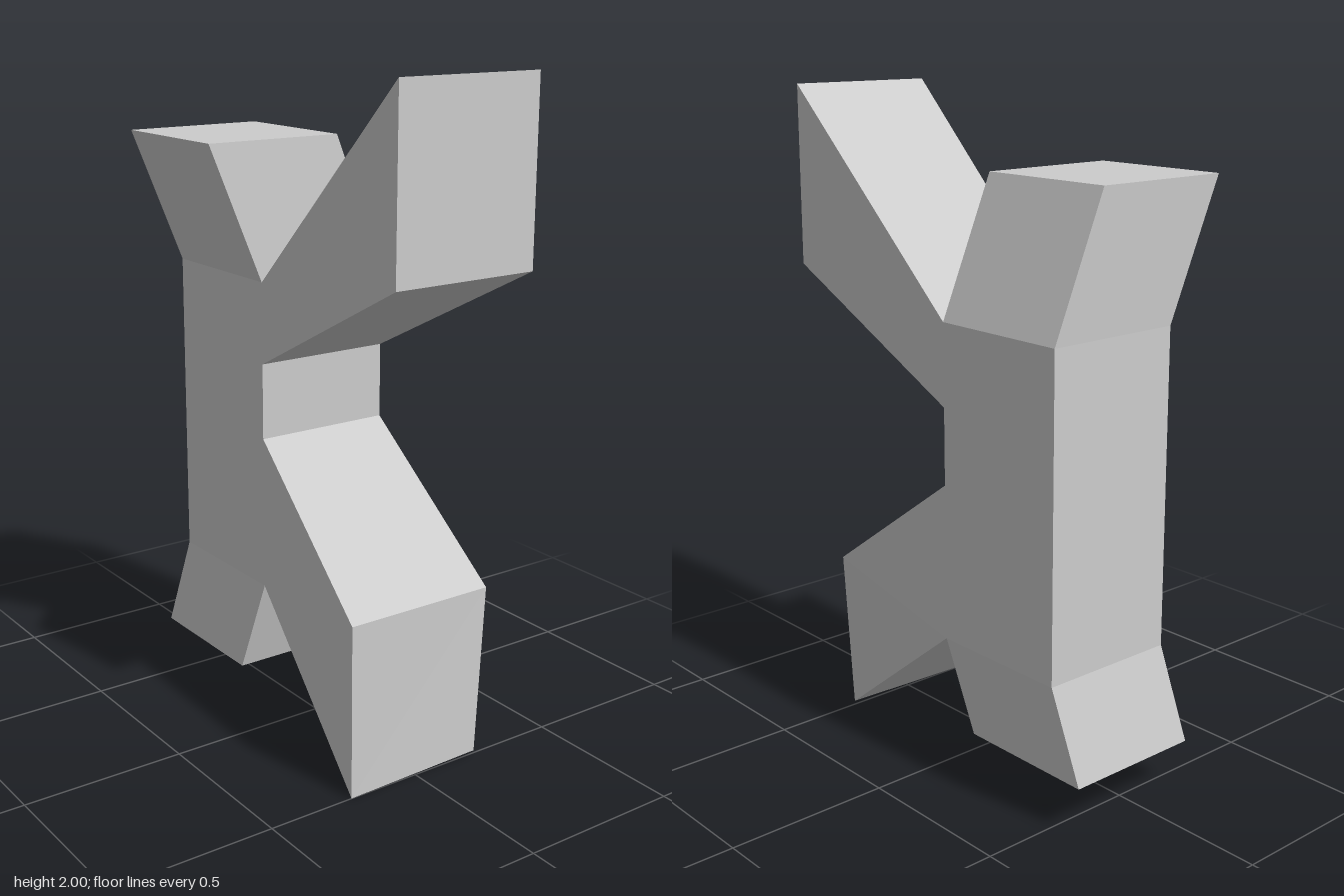
import * as THREE from 'three';

// Joins four-cornered cross-sections; each ring runs anticlockwise seen from the far end.
// openSides lists 'section:side' faces left out where another part joins.
function loft(rings, { capStart = false, capEnd = false, openSides = [] } = {}) {
  const pos = [];
  const quad = (a, b, c, d) => {
    for (const p of [a, b, c, a, c, d]) pos.push(...p);
  };
  for (let k = 0; k < rings.length - 1; k++) {
    const a = rings[k], b = rings[k + 1];
    for (let i = 0; i < 4; i++) {
      if (openSides.includes(`${k}:${i}`)) continue;
      const j = (i + 1) % 4;
      quad(a[i], a[j], b[j], b[i]);
    }
  }
  if (capStart) quad(...[...rings[0]].reverse());
  if (capEnd) quad(...rings[rings.length - 1]);
  const geo = new THREE.BufferGeometry();
  geo.setAttribute('position', new THREE.Float32BufferAttribute(pos, 3));
  geo.computeVertexNormals();
  return geo;
}

// Horizontal cross-section of the upright
const level = (y, x0, x1, z0, z1) => [[x0, y, z1], [x1, y, z1], [x1, y, z0], [x0, y, z0]];

// Vertical cross-section of a side arm
const slice = (x, y0, y1, z0, z1) => [[x, y0, z1], [x, y0, z0], [x, y1, z0], [x, y1, z1]];

export function createModel() {
  const group = new THREE.Group();
  const grey = new THREE.MeshStandardMaterial({ color: 0xcccccc, flatShading: true });
  grey.name = 'light grey';

  const add = (name, geo) => {
    const mesh = new THREE.Mesh(geo, grey);
    mesh.name = name;
    group.add(mesh);
  };

  const stem = (y) => level(y, -0.51, -0.06, -0.285, 0.15);

  // Upright, open where the two arms grow out of it
  add('upright', loft([stem(0.435), stem(0.905), stem(1.135), stem(1.38)],
    { openSides: ['0:1', '2:1'] }));

  // Head leaning forward and foot leaning outward
  add('head', loft([stem(1.38), level(1.785, -0.53, -0.085, -0.135, 0.305)], { capEnd: true }));
  add('foot', loft([level(0.145, -0.585, -0.14, -0.25, 0.185), stem(0.435)], { capStart: true }));

  // Flaring upper arm
  add('upperArm', loft([
    slice(-0.06, 1.135, 1.38, -0.285, 0.15),
    slice(0.585, 1.465, 2, -0.305, 0.165),
  ], { capEnd: true }));

  // Lower arm, slightly twisted at its end
  add('lowerArm', loft([
    slice(-0.06, 0.435, 0.905, -0.285, 0.15),
    [[0.5, 0, 0.23], [0.503, 0.01, -0.22], [0.498, 0.525, -0.253], [0.498, 0.525, 0.23]],
  ], { capEnd: true }));

  return group;
}
